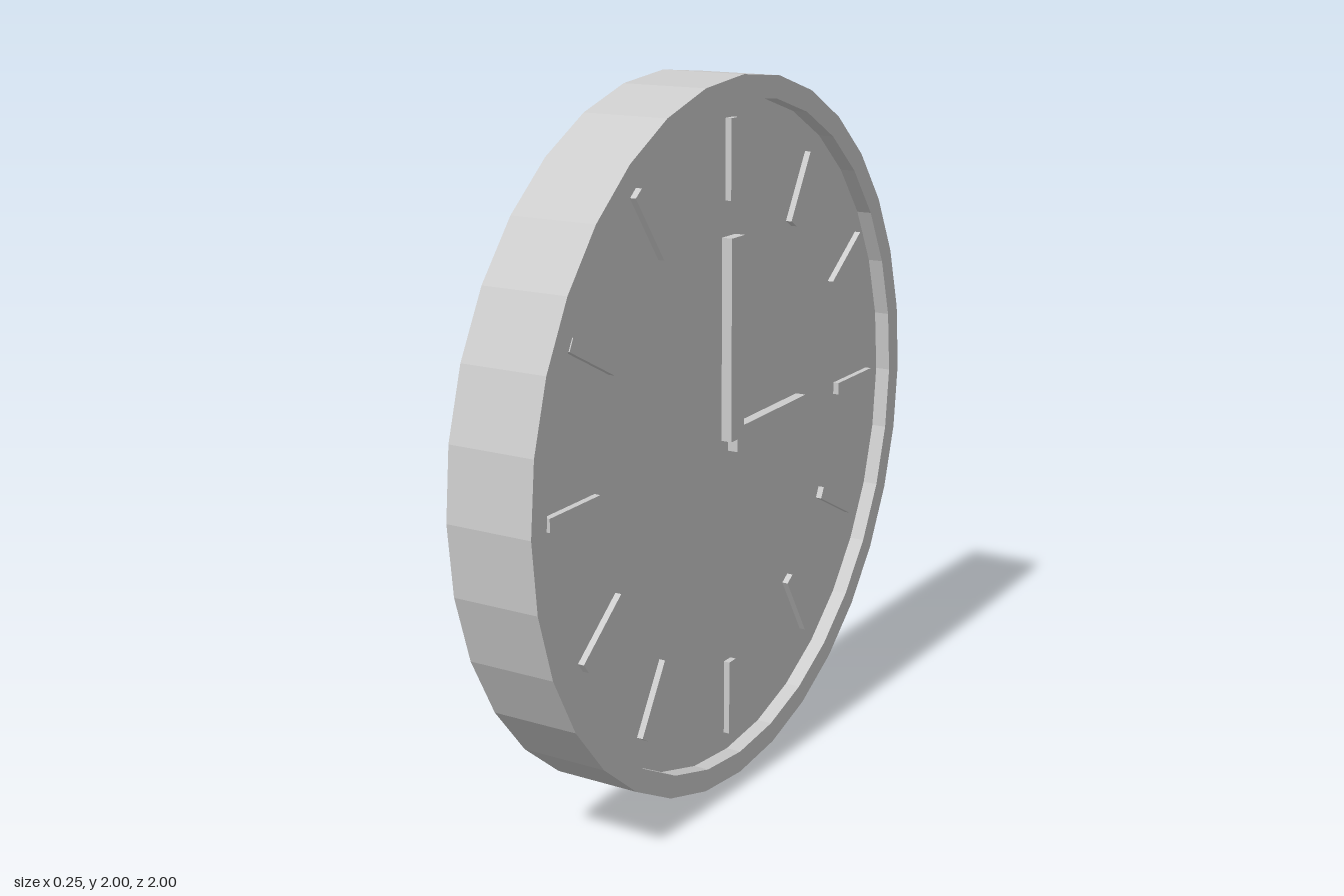
import * as THREE from 'three';

const FACE_X = 0.08; // plane of the recessed dial

export function createModel() {
  const group = new THREE.Group();
  const material = new THREE.MeshStandardMaterial({ color: 0xcccccc, flatShading: true });

  // Bar lying on the dial between two (z, y) points
  const addBar = (name, [z1, y1, z2, y2], width, depth) => {
    const dz = z2 - z1, dy = y2 - y1;
    const bar = new THREE.Mesh(new THREE.BoxGeometry(depth, width, Math.hypot(dz, dy)), material);
    bar.position.set(FACE_X + depth / 2, (y1 + y2) / 2, (z1 + z2) / 2);
    bar.rotation.x = -Math.atan2(dy, dz);
    bar.name = name;
    group.add(bar);
  };

  // Case: a 32-sided drum with a raised rim around the dial
  const profile = [[0, -0.125], [1, -0.125], [1, 0.125], [0.937, 0.125], [0.937, FACE_X], [0, FACE_X]]
    .map(([r, h]) => new THREE.Vector2(r, h));
  const body = new THREE.Mesh(new THREE.LatheGeometry(profile, 32), material);
  body.name = 'clockCase';
  body.rotation.z = -Math.PI / 2;
  body.position.y = 1;
  group.add(body);

  // Hour markers, hand-placed and slightly uneven: inner end to outer end, from one o'clock on
  const markers = [
    [-0.34, 1.55, -0.45, 1.735],
    [-0.6, 1.325, -0.775, 1.447],
    [-0.64, 1, -0.86, 1],
    [-0.545, 0.695, -0.74, 0.595],
    [-0.343, 0.48, -0.458, 0.295],
    [0, 0.34, 0, 0.12],
    [0.35, 0.46, 0.465, 0.275],
    [0.565, 0.713, 0.74, 0.578],
    [0.665, 1, 0.885, 1],
    [0.585, 1.325, 0.78, 1.425],
    [0.343, 1.57, 0.475, 1.747],
    [0, 1.665, 0, 1.885],
  ];
  markers.forEach((ends, i) => addBar(`hourMarker${i + 1}`, ends, 0.036, 0.018));

  // Hands
  addBar('minuteHand', [0, 1, 0, 1.567], 0.07, 0.031);
  addBar('hourHand', [0, 0.998, -0.4, 1.003], 0.07, 0.031);

  return group;
}
